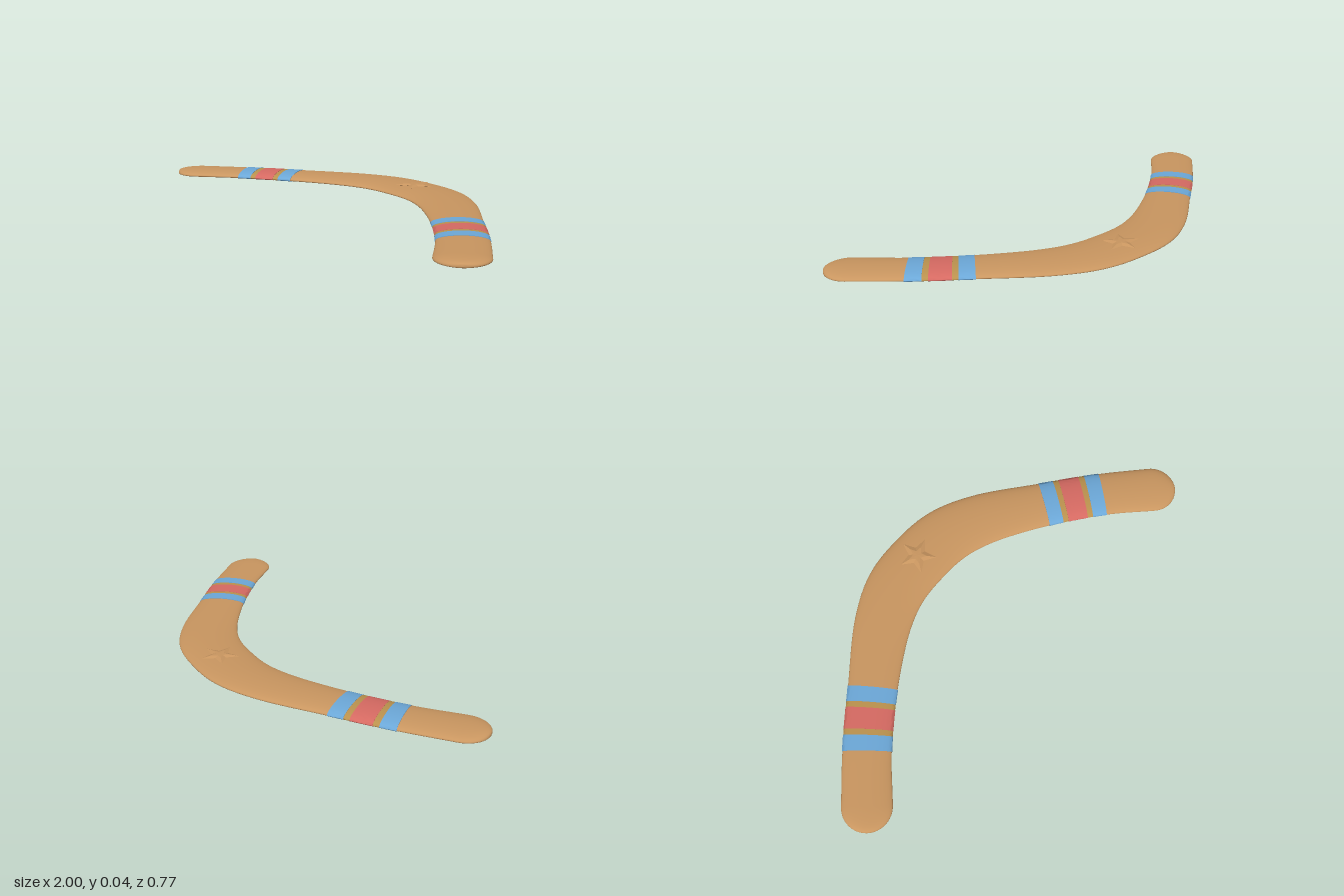
import * as THREE from 'three';
import { toCreasedNormals } from 'three/addons/utils/BufferGeometryUtils.js';

const RING = 48;

// Half of the centre line, stored as (x, half width, z), then mirrored
const half = [[0, 0.13, -0.255], [0.15, 0.128, -0.242], [0.3, 0.118, -0.182],
  [0.54, 0.1, -0.02], [0.74, 0.097, 0.136], [0.898, 0.1, 0.283]];
const points = [
  ...half.slice(1).reverse().map(([x, w, z]) => [-x, w, z]),
  ...half,
].map((p) => new THREE.Vector3(...p));
const curve = new THREE.CatmullRomCurve3(points);

// One cross-section: centre, direction, half width, thickness scale and raise
function section(u, cap = 0, raise = 0) {
  const p = curve.getPointAt(u);
  const t = curve.getTangentAt(u).setY(0).normalize();
  const r = p.y;
  p.addScaledVector(t, r * Math.sin(cap));
  const c = Math.max(Math.cos(cap), 0);
  return { p, t, w: r * c + raise, h: Math.sqrt(c), raise };
}

// Skin a row of domed cross-sections with a flatter underside
function loft(sections) {
  const pos = [], index = [];
  for (const { p, t, w, h, raise } of sections) {
    for (let j = 0; j < RING; j++) {
      const a = (j / RING) * Math.PI * 2;
      const s = Math.sin(a), side = Math.cos(a) * w;
      const y = s >= 0
        ? s * (0.02 * h + raise)
        : -Math.pow(-s, 0.7) * (0.009 * h + raise);
      pos.push(p.x - t.z * side, 0.011 + y, p.z + t.x * side);
    }
  }
  for (let i = 0; i < sections.length - 1; i++) {
    for (let j = 0; j < RING; j++) {
      const k = (j + 1) % RING;
      const a = i * RING + j, b = i * RING + k;
      const c = a + RING, d = b + RING;
      index.push(a, c, b, b, c, d);
    }
  }
  const geo = new THREE.BufferGeometry();
  geo.setAttribute('position', new THREE.Float32BufferAttribute(pos, 3));
  geo.setIndex(index);
  geo.computeVertexNormals();
  return geo;
}

export function createModel() {
  const group = new THREE.Group();
  const wood = new THREE.MeshStandardMaterial({ color: 0xc99660 });
  const blue = new THREE.MeshStandardMaterial({ color: 0x6ca8d8 });
  const red = new THREE.MeshStandardMaterial({ color: 0xd66a62 });
  const gold = new THREE.MeshStandardMaterial({ color: 0xbb924e });
  Object.entries({ wood, blue, red, gold }).forEach(([name, m]) => { m.name = name; });

  function add(name, geo, mat) {
    const mesh = new THREE.Mesh(geo, mat);
    mesh.name = name;
    group.add(mesh);
    return mesh;
  }

  // Curved body with round tips
  const rows = [];
  const CAP = 12, BODY = 80;
  for (let i = CAP; i > 0; i--) rows.push(section(0, (-i / CAP) * Math.PI / 2));
  for (let i = 0; i <= BODY; i++) rows.push(section(i / BODY));
  for (let i = 1; i <= CAP; i++) rows.push(section(1, (i / CAP) * Math.PI / 2));
  add('body', loft(rows), wood);

  // Painted bands wrapped round each arm: start and end along the arm, raise
  const bands = [
    ['innerBlueBand', 0.560, 0.618, 0.002, blue],
    ['innerGoldBand', 0.618, 0.640, 0.001, gold],
    ['redBand', 0.640, 0.720, 0.002, red],
    ['outerGoldBand', 0.720, 0.742, 0.001, gold],
    ['outerBlueBand', 0.742, 0.800, 0.002, blue],
  ];
  for (const [side, sign] of [['left', 1], ['right', -1]]) {
    for (const [name, from, to, raise, mat] of bands) {
      const ends = [0.5 + sign * from / 2, 0.5 + sign * to / 2].sort((a, b) => a - b);
      const strip = [section(ends[0])];
      for (let i = 0; i <= 5; i++) {
        strip.push(section(THREE.MathUtils.lerp(ends[0], ends[1], i / 5), 0, raise));
      }
      strip.push(section(ends[1]));
      add(`${side} ${name}`, toCreasedNormals(loft(strip), 1.0), mat);
    }
  }

  // Raised five-pointed star: a ten-sided lathe with every other corner pulled in
  const profile = [[0, 0.026], [0.05, 0.027], [0.08, 0.032], [0.04, 0.0375], [0, 0.038]]
    .map(([x, y]) => new THREE.Vector2(x, y));
  const star = new THREE.LatheGeometry(profile, 10, Math.PI);
  const pos = star.attributes.position;
  for (let i = 0; i < pos.count; i++) {
    const inner = Math.floor(i / profile.length) % 2 === 1;
    const k = inner ? 0.45 : 1;
    pos.setXYZ(i, pos.getX(i) * k, pos.getY(i), pos.getZ(i) * k);
  }
  const flatStar = star.toNonIndexed();
  flatStar.computeVertexNormals();
  add('star', flatStar, wood).position.z = -0.265;

  return group;
}
